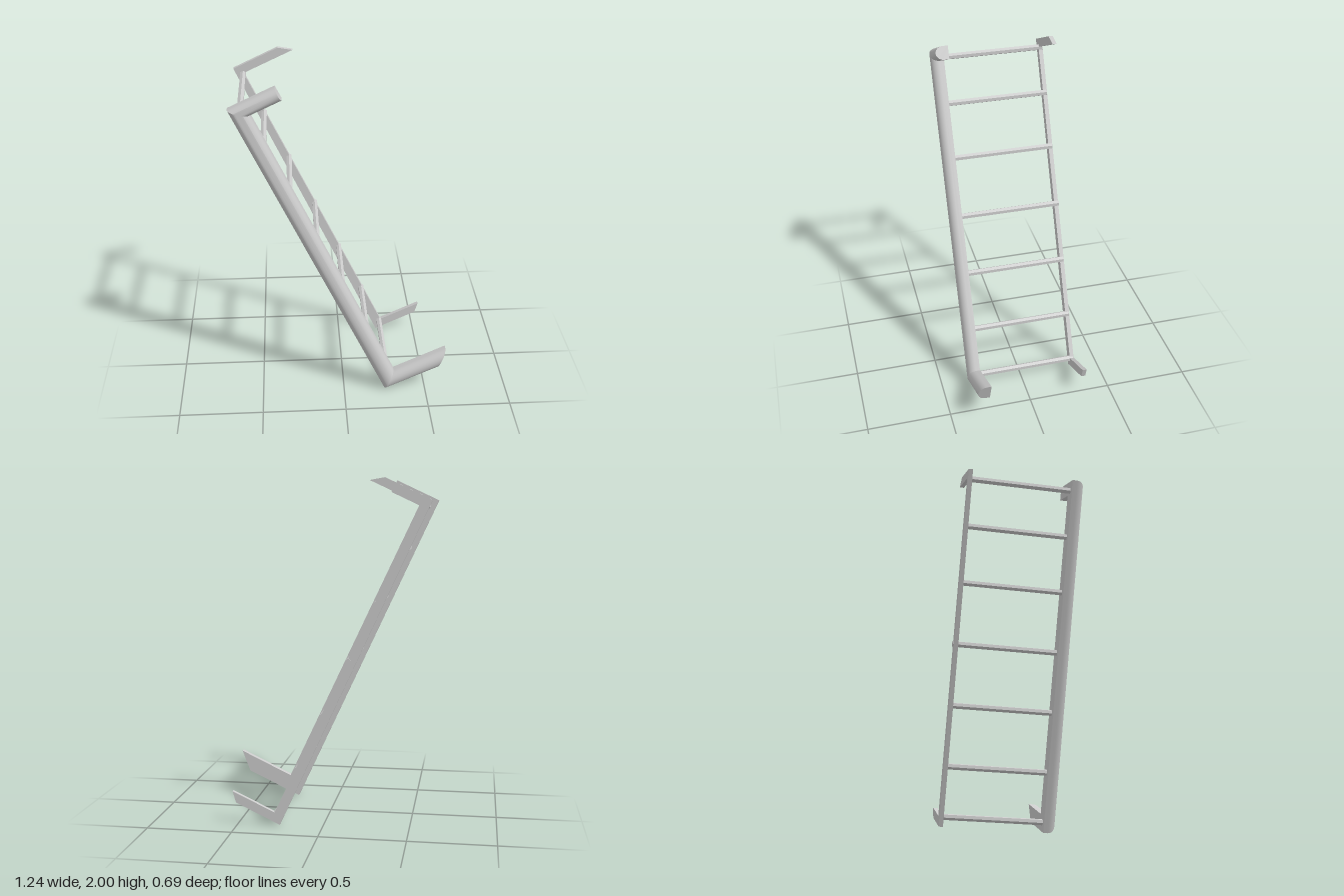
import * as THREE from 'three';
import { toCreasedNormals } from 'three/addons/utils/BufferGeometryUtils.js';

const material = new THREE.MeshStandardMaterial({ color: 0xcccccc });

// Sweeps a convex section [u, z] along a mitred path; u runs from the outer line to the inner line
function rail(name, outer, inner, section) {
  const rings = outer.map(([ox, oy], i) => section.map(([u, z]) => [
    ox + (inner[i][0] - ox) * u, oy + (inner[i][1] - oy) * u, z]));
  const pos = [];
  const tri = (...pts) => pts.forEach((p) => pos.push(...p));
  const n = section.length;
  for (let i = 0; i < rings.length - 1; i++) {
    for (let j = 0; j < n; j++) {
      const k = (j + 1) % n;
      tri(rings[i][j], rings[i + 1][j], rings[i + 1][k]);
      tri(rings[i][j], rings[i + 1][k], rings[i][k]);
    }
  }
  // end caps
  const first = rings[0], last = rings[rings.length - 1];
  for (let j = 1; j < n - 1; j++) {
    tri(first[0], first[j], first[j + 1]);
    tri(last[0], last[j + 1], last[j]);
  }
  const geometry = new THREE.BufferGeometry();
  geometry.setAttribute('position', new THREE.Float32BufferAttribute(pos, 3));
  const mesh = new THREE.Mesh(toCreasedNormals(geometry, 0.6), material);
  mesh.name = name;
  return mesh;
}

export function createModel() {
  const group = new THREE.Group();
  group.name = 'ladder';

  // Front rail: flat back, rounded front, an arm at each end
  const dSection = [[0, 0.27]];
  for (let i = 0; i <= 14; i++) {
    const a = (i / 14) * Math.PI;
    dSection.push([0.5 - 0.5 * Math.cos(a), 0.298 + 0.047 * Math.sin(a)]);
  }
  dSection.push([1, 0.27]);
  group.add(rail('frontRail',
    [[-0.365, 2.0], [-0.62, 1.88], [0.25, 0.0], [0.57, 0.15]],
    [[-0.33, 1.93], [-0.5, 1.85], [0.305, 0.13], [0.62, 0.28]], dSection));

  // Back rail: thin flat bar with slanted arm ends
  group.add(rail('backRail',
    [[-0.35, 2.0], [-0.61, 1.878], [0.25, 0.005], [0.51, 0.128]],
    [[-0.265, 1.985], [-0.552, 1.851], [0.28, 0.078], [0.53, 0.195]],
    [[0, -0.345], [0, -0.32], [1, -0.32], [1, -0.345]]));

  // Six-sided rungs; the middle one pokes slightly through the back rail
  const rungs = [[-0.555, 1.847], [-0.442, 1.597], [-0.302, 1.3], [-0.15, 0.977],
    [0, 0.655], [0.148, 0.335], [0.271, 0.07]];
  rungs.forEach(([x, y], i) => {
    const back = i === 3 ? -0.349 : -0.342, front = 0.28;
    const geometry = new THREE.CylinderGeometry(0.0185, 0.0185, front - back, 6).rotateX(Math.PI / 2);
    const rung = new THREE.Mesh(toCreasedNormals(geometry, 0.3), material);
    rung.position.set(x, y, (front + back) / 2);
    rung.name = 'rung' + (i + 1);
    group.add(rung);
  });
  return group;
}
